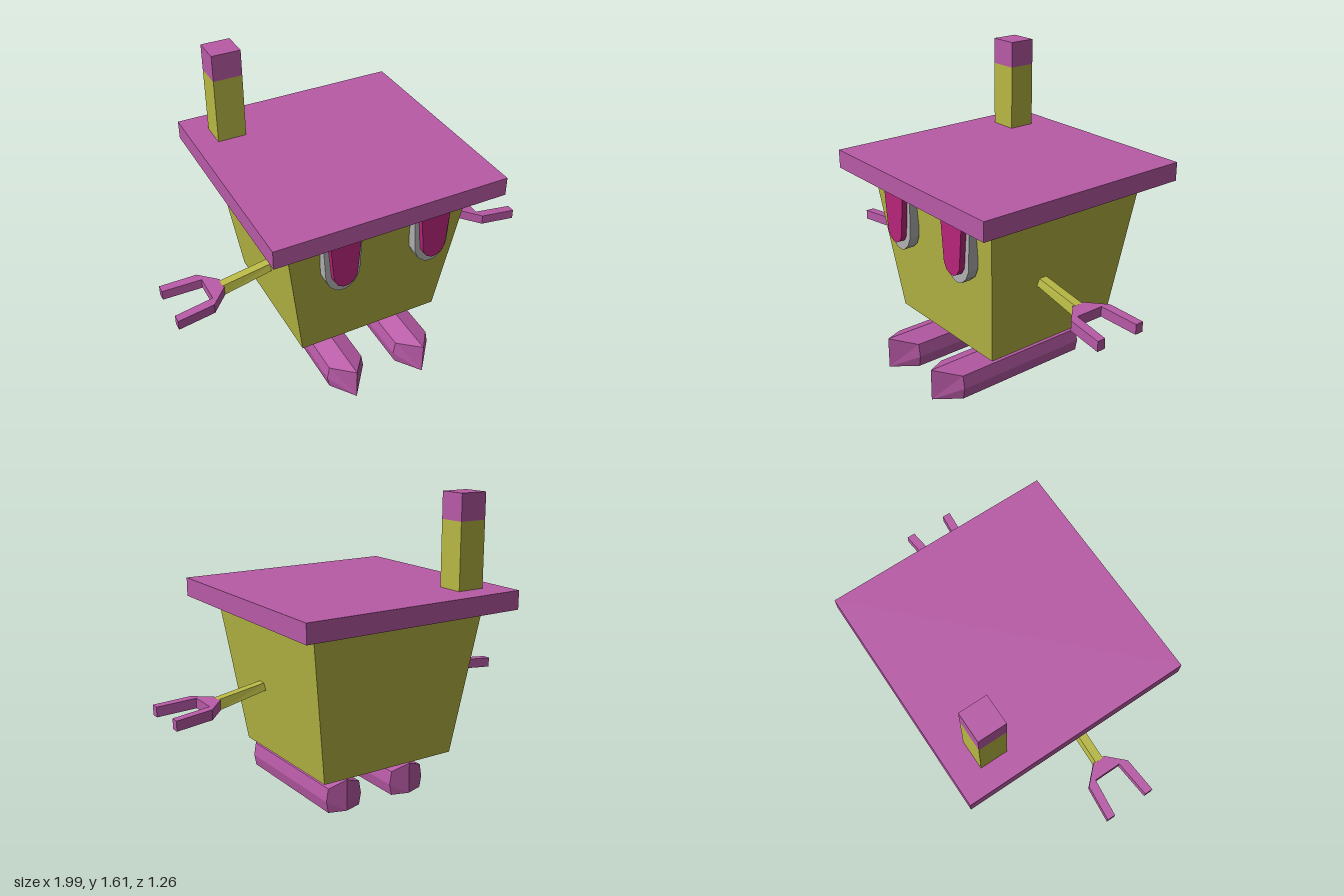
import * as THREE from 'three';

const mat = (color) => new THREE.MeshStandardMaterial({ color, flatShading: true });
const yellow = mat(0xb8b845), pink = mat(0xb85aa6), magenta = mat(0xb8257a), grey = mat(0xb2b2b2);

function add(parent, name, geometry, material, x = 0, y = 0, z = 0) {
  const mesh = new THREE.Mesh(geometry, material);
  mesh.name = name;
  mesh.position.set(x, y, z);
  parent.add(mesh);
  return mesh;
}

// Unit box whose corners (each -0.5..0.5) are moved by a rule
function shapedBox(rule) {
  const g = new THREE.BoxGeometry(1, 1, 1), p = g.attributes.position;
  for (let i = 0; i < p.count; i++) p.setXYZ(i, ...rule(p.getX(i), p.getY(i), p.getZ(i)));
  g.computeVertexNormals();
  return g;
}

// Closed solid through two equal-length rings, ends fanned from the first point
function loft(back, front) {
  const n = back.length, index = [];
  for (let i = 0; i < n; i++) {
    const j = (i + 1) % n;
    index.push(i, j, n + j, i, n + j, n + i);
    if (i > 0 && i < n - 1) index.push(0, i + 1, i, n, n + i, n + i + 1);
  }
  const g = new THREE.BufferGeometry();
  g.setAttribute('position', new THREE.Float32BufferAttribute([...back, ...front].flat(), 3));
  g.setIndex(index);
  const flat = g.toNonIndexed();
  flat.computeVertexNormals();
  return flat;
}

const shapeOf = (pts) => new THREE.Shape(pts.map(([x, y]) => new THREE.Vector2(x, y)));
const extrude = (pts, depth) => new THREE.ExtrudeGeometry(shapeOf(pts), { depth, bevelEnabled: false });
// Mirror a half outline, given as [half width, y] from top to bottom
const symmetric = (half) => [...half.map(([x, y]) => [-x, y]), ...half.slice().reverse()];

export function createModel() {
  const group = new THREE.Group();
  group.name = 'houseCharacter';

  // Body flaring outwards towards the roof
  add(group, 'body', shapedBox((x, y, z) => {
    const top = y > 0;
    return [x * (top ? 1.02 : 0.79), top ? 1.025 : 0.225,
      z > 0 ? (top ? 0.48 : 0.39) : (top ? -0.495 : -0.4)];
  }), yellow);

  // Roof slab and chimney
  add(group, 'roof', new THREE.BoxGeometry(1.256, 0.1, 1.245), pink, 0, 1.07, -0.0075);
  add(group, 'chimney', new THREE.BoxGeometry(0.155, 0.35, 0.148), yellow, -0.43, 1.295, -0.416);
  add(group, 'chimneyCap', new THREE.BoxGeometry(0.155, 0.14, 0.148), pink, -0.43, 1.54, -0.416);

  // Window eyes
  const frame = extrude(symmetric([[0.108, 1.015], [0.093, 0.747], [0.072, 0.7], [0.034, 0.667], [0.012, 0.66]]), 0.057);
  const pane = extrude(symmetric([[0.083, 0.976], [0.063, 0.757], [0.042, 0.723], [0.013, 0.708]]), 0.04);
  for (const x of [-0.223, 0.277]) {
    add(group, 'eyeFrame', frame, grey, x, 0, 0.454);
    add(group, 'eyePane', pane, magenta, x, 0, 0.502);
  }

  // Feet: faceted bars with a wedge-shaped toe
  const right = [[0.095, 0], [0.107, 0.062], [0.095, 0.133]];
  const ring = [[0, 0], ...right, [0, 0.172], ...right.slice().reverse().map(([x, y]) => [-x, y])];
  const endRing = (centre, side) => ring.map(([x, y]) => [x, y, x === 0 ? centre : side]);
  const foot = loft(endRing(-0.307, -0.277), endRing(0.63, 0.5));
  for (const x of [-0.2, 0.2]) add(group, 'foot', foot, pink, x);

  // Arms: tapered bar and a two-pronged hand
  const armGeometry = shapedBox((x, y, z) => {
    const end = x > 0;
    return [end ? 0.715 : 0.42, (end ? 0.56 : 0.617) + y * (end ? 0.054 : 0.038), z * (y > 0 ? 0.046 : 0.066)];
  });
  const outline = [[0.71, 0.034], [0.8, 0.128], [0.997, 0.146], [0.997, 0.1], [0.79, 0.078]];
  const handGeometry = extrude([...outline.map(([x, z]) => [x, -z]), ...outline.slice().reverse()], 0.054);
  handGeometry.rotateX(-Math.PI / 2);
  const p = handGeometry.attributes.position;
  for (let i = 0; i < p.count; i++) p.setY(i, p.getY(i) + 0.533 - 0.073 * (p.getX(i) - 0.71));
  handGeometry.computeVertexNormals();
  for (const [name, turn] of [['leftArm', 0], ['rightArm', Math.PI]]) {
    const arm = new THREE.Group();
    arm.name = name;
    arm.position.z = 0.114;
    arm.rotation.y = turn;
    add(arm, 'forearm', armGeometry, yellow);
    add(arm, 'hand', handGeometry, pink);
    group.add(arm);
  }
  return group;
}
